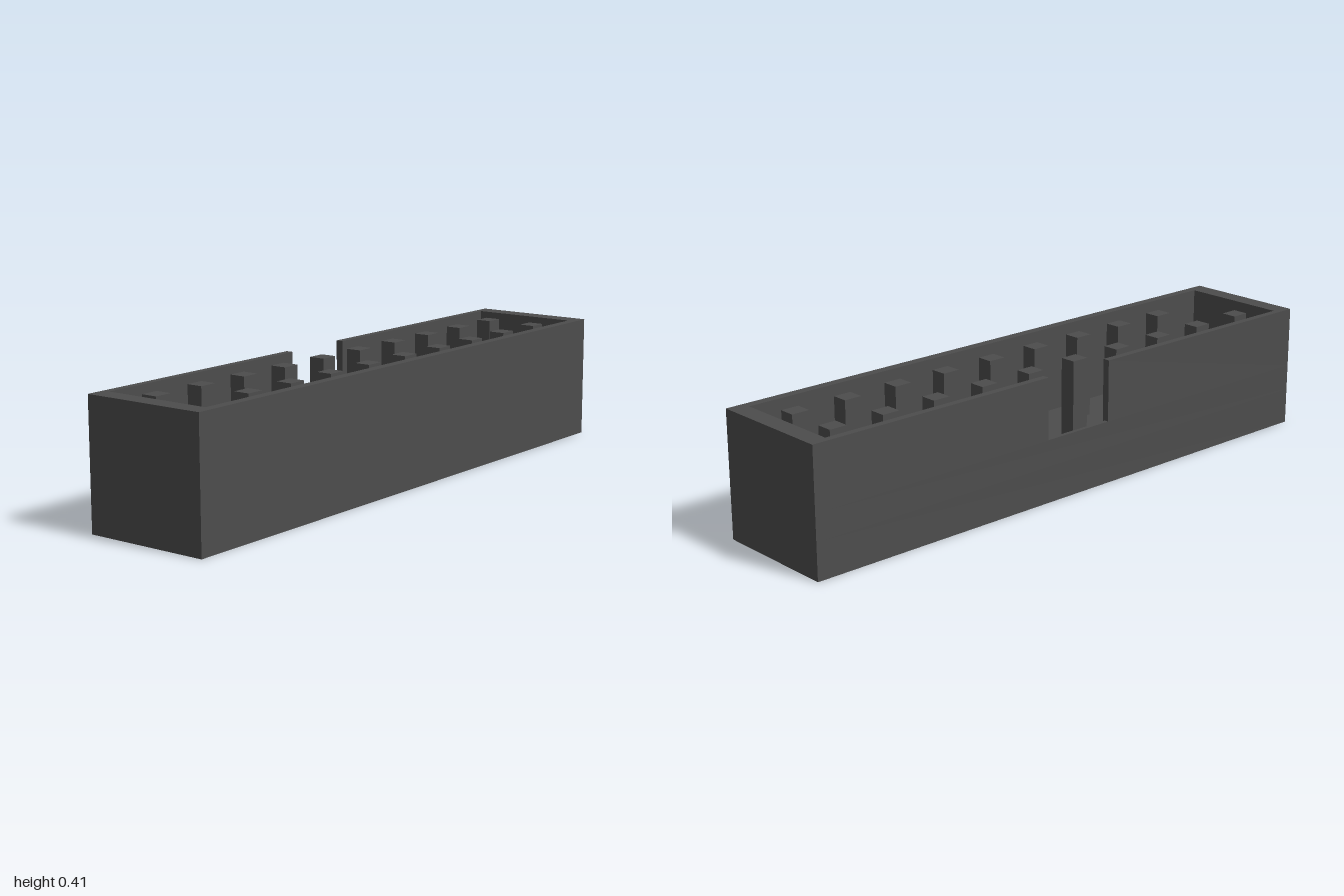
import * as THREE from 'three';

const FRONT = 0.135, BACK = -0.28;            // outer z limits
const IN_X = 0.94, IN_FRONT = 0.105, IN_BACK = -0.257; // cavity limits
const FLOOR = 0.12, SILL = 0.205, TOP = 0.405;
const NOTCH_L = -0.13, NOTCH_R = 0.125, SILL_IN = -0.266;

const plastic = new THREE.MeshStandardMaterial({ color: 0x4d4d4d });

// Plan outline given as [x, z] corners
const plan = (pts) => pts.map(([x, z]) => new THREE.Vector2(x, -z));

// Extrudes a plan outline upwards from y0 to y1
function layer(name, y0, y1, outline, hole) {
  const shape = new THREE.Shape(plan(outline));
  if (hole) shape.holes.push(new THREE.Path(plan(hole)));
  const geo = new THREE.ExtrudeGeometry(shape, { depth: y1 - y0, bevelEnabled: false });
  geo.rotateX(-Math.PI / 2).translate(0, y0, 0);
  const mesh = new THREE.Mesh(geo, plastic);
  mesh.name = name;
  return mesh;
}

export function createModel() {
  const model = new THREE.Group();
  model.name = 'pinHeader';

  // Shroud: solid base, closed lower wall, upper wall open at the key notch
  const outer = [[-1, FRONT], [1, FRONT], [1, BACK], [-1, BACK]];
  const cavity = [
    [-IN_X, IN_FRONT], [IN_X, IN_FRONT], [IN_X, IN_BACK], [NOTCH_R, IN_BACK],
    [NOTCH_R, SILL_IN], [NOTCH_L, SILL_IN], [NOTCH_L, IN_BACK], [-IN_X, IN_BACK],
  ];
  const notched = [
    [-1, FRONT], [1, FRONT], [1, BACK], [NOTCH_R, BACK], [NOTCH_R, IN_BACK],
    [IN_X, IN_BACK], [IN_X, IN_FRONT], [-IN_X, IN_FRONT], [-IN_X, IN_BACK],
    [NOTCH_L, IN_BACK], [NOTCH_L, BACK], [-1, BACK],
  ];
  const shroud = new THREE.Group();
  shroud.name = 'shroud';
  shroud.add(
    layer('base', 0, FLOOR, outer),
    layer('lowerWall', FLOOR, SILL, outer, cavity),
    layer('notchedUpperWall', SILL, TOP, notched),
  );
  model.add(shroud);

  // Two rows of ten pins; the front row lacks its first pin
  const pins = new THREE.Group();
  pins.name = 'pins';
  const pinTop = 0.395;
  const pinGeo = new THREE.BoxGeometry(0.06, pinTop - FLOOR, 0.053);
  for (const [row, z] of [['back', -0.165], ['front', 0.013]]) {
    for (let i = row === 'front' ? 1 : 0; i < 10; i++) {
      const pin = new THREE.Mesh(pinGeo, plastic);
      pin.name = `${row}Pin${i + 1}`;
      pin.position.set(-0.846 + i * 0.188, (pinTop + FLOOR) / 2, z);
      pins.add(pin);
    }
  }
  model.add(pins);
  return model;
}
